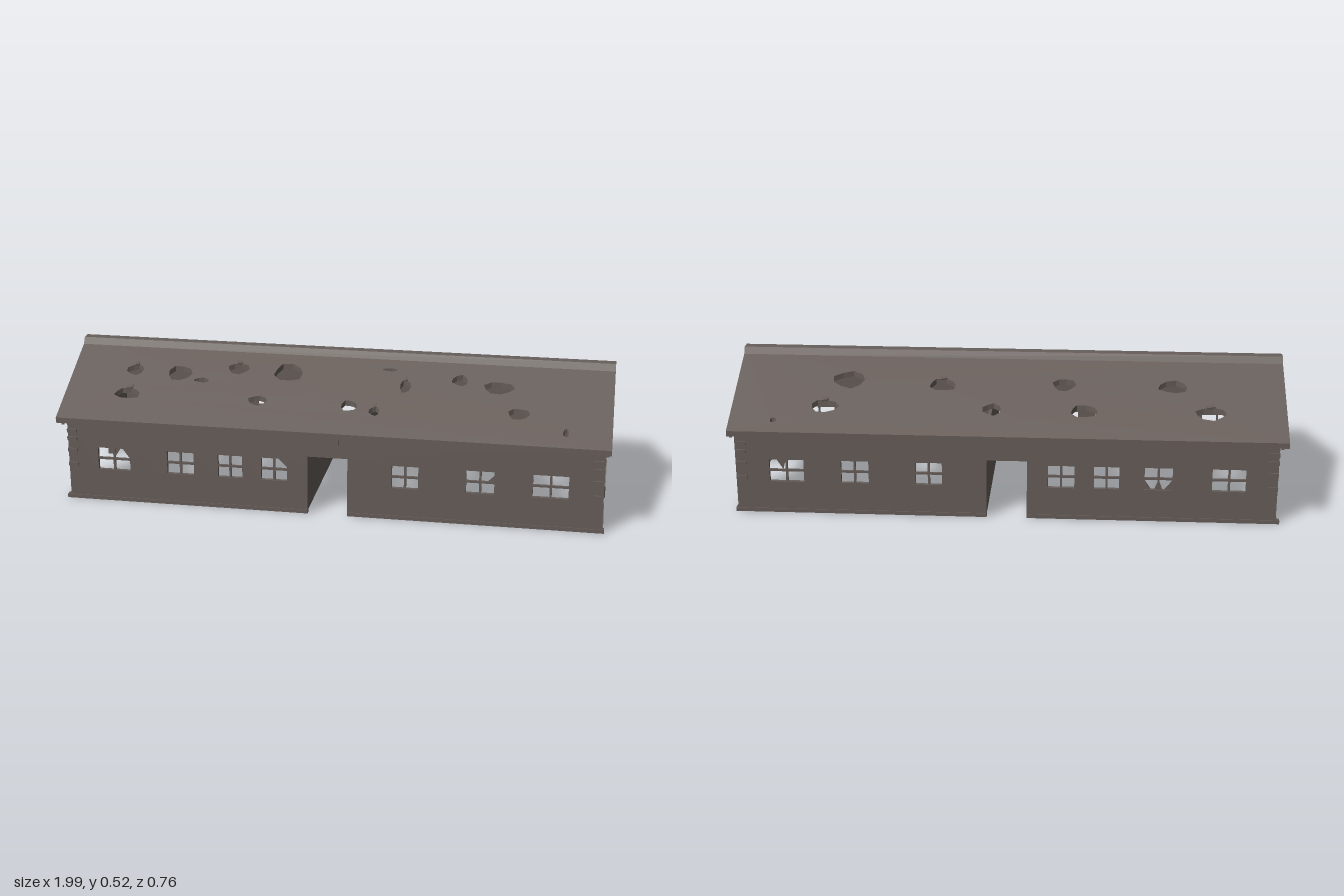
import * as THREE from 'three';

const timber = new THREE.MeshStandardMaterial({ color: 0x675e5a, side: THREE.DoubleSide });
timber.name = 'weatheredTimber';

const roofY = (z) => 0.515 - 0.5 * Math.abs(z); // top surface of the roof

function poly(points, Type = THREE.Shape) {
  return new Type(points.map(([x, y]) => new THREE.Vector2(x, y)));
}
function rect(x0, y0, x1, y1, Type) {
  return poly([[x0, y0], [x1, y0], [x1, y1], [x0, y1]], Type);
}
function extrude(shape, depth) {
  return new THREE.ExtrudeGeometry(shape, { depth, bevelEnabled: false });
}
function add(parent, name, geometry, x = 0, y = 0, z = 0) {
  const mesh = new THREE.Mesh(geometry, timber);
  mesh.name = name;
  mesh.position.set(x, y, z);
  parent.add(mesh);
  return mesh;
}
function box(parent, name, x0, x1, y0, y1, z0, z1) {
  return add(parent, name, new THREE.BoxGeometry(x1 - x0, y1 - y0, z1 - z0),
    (x0 + x1) / 2, (y0 + y1) / 2, (z0 + z1) / 2);
}

// Ragged opening around a centre
function ragged(x, z, rx, rz, seed) {
  const pts = [];
  for (let i = 0; i < 9; i++) {
    const a = (i / 9) * Math.PI * 2;
    const r = 0.98 + 0.1 * Math.sin(seed * 3.7 + i * 2.3);
    pts.push([x + rx * r * Math.cos(a), z + rz * r * Math.sin(a)]);
  }
  return poly(pts, THREE.Path);
}

// Window spans [x0, x1] along the long walls
const windows = [[-0.86, -0.74], [-0.6, -0.5], [-0.41, -0.32], [-0.25, -0.155],
  [0.225, 0.32], [0.49, 0.59], [0.725, 0.85]];
const W0 = 0.12, W1 = 0.205;

// Roof holes: x, distance from ridge, half sizes
const frontHoles = [[-0.765, 0.14, 0.033, 0.025], [-0.595, 0.145, 0.045, 0.035], [-0.505, 0.172, 0.03, 0.011],
  [-0.38, 0.11, 0.04, 0.026], [-0.19, 0.115, 0.055, 0.042], [0.18, 0.078, 0.028, 0.007],
  [0.245, 0.15, 0.02, 0.03], [0.44, 0.11, 0.03, 0.025], [0.58, 0.135, 0.055, 0.028],
  [-0.765, 0.25, 0.05, 0.025], [-0.28, 0.25, 0.035, 0.022], [0.055, 0.25, 0.03, 0.024],
  [0.15, 0.268, 0.02, 0.02], [0.66, 0.245, 0.038, 0.025], [0.83, 0.315, 0.01, 0.018]];
const backHoles = [[-0.73, 0.26, 0.055, 0.028], [-0.28, 0.26, 0.05, 0.028], [0.05, 0.26, 0.035, 0.026],
  [0.655, 0.26, 0.05, 0.028], [-0.6, 0.145, 0.055, 0.028], [-0.205, 0.145, 0.042, 0.028],
  [0.235, 0.155, 0.05, 0.028], [0.58, 0.14, 0.06, 0.038], [0.83, 0.325, 0.012, 0.01]];

function roofSlope(side, holes) {
  const slope = new THREE.Group();
  slope.name = side > 0 ? 'frontRoof' : 'backRoof';
  const shape = side > 0 ? rect(-1, 0, 0.99, 0.378) : rect(-0.99, 0, 1, 0.378);
  holes.forEach(([x, z, rx, rz], i) => shape.holes.push(ragged(side * x, z, rx, rz, i + side)));
  const geo = extrude(shape, 0.02);
  const p = geo.attributes.position;
  for (let i = 0; i < p.count; i++) {
    const z = p.getY(i);
    p.setXYZ(i, p.getX(i), roofY(z) - p.getZ(i), z);
  }
  geo.computeVertexNormals();
  add(slope, 'roofSheet', geo);
  // Splinters lifted at the rims of some holes
  holes.forEach(([x, z, rx, rz], i) => {
    if (i % 3) return;
    const s = add(slope, 'splinter', new THREE.BoxGeometry(rx * 0.5, 0.006, 0.022),
      side * x, roofY(z - rz) + 0.003, z - rz);
    s.rotation.set(0.15, 0.2, 0.1);
  });
  if (side < 0) slope.rotation.y = Math.PI;
  return slope;
}

// Cross bars of a window in its own x-y plane
function crossBars(parent, x0, x1, y0, y1, z) {
  const cx = (x0 + x1) / 2, cy = (y0 + y1) / 2;
  box(parent, 'windowPost', cx - 0.004, cx + 0.004, y0, y1, z - 0.004, z + 0.004);
  box(parent, 'windowBar', x0, x1, cy - 0.004, cy + 0.004, z - 0.004, z + 0.004);
}
function shard(parent, pts, z) {
  add(parent, 'brokenPane', new THREE.ShapeGeometry(poly(pts)), 0, 0, z);
}

function longWall(side) {
  const wall = new THREE.Group();
  wall.name = side > 0 ? 'frontWall' : 'backWall';
  const z = side * 0.333;
  const shape = poly([[-0.97, 0.005], [-0.08, 0.005], [-0.08, 0.22], [0.065, 0.22], [0.065, 0.005],
    [0.97, 0.005], [0.97, 0.335], [-0.97, 0.335]]);
  windows.forEach(([a, b]) => shape.holes.push(rect(a, W0, b, W1, THREE.Path)));
  add(wall, 'wallBoards', extrude(shape, 0.014), 0, 0, z - 0.007);
  windows.forEach(([a, b]) => crossBars(wall, a, b, W0, W1, z));
  // Sill boards either side of the passage
  box(wall, 'sill', -0.985, -0.08, 0, 0.014, z - 0.01, z + 0.01);
  box(wall, 'sill', 0.065, 0.98, 0, 0.014, z - 0.01, z + 0.01);
  if (side > 0) {
    shard(wall, [[-0.77, W1], [-0.74, W1], [-0.74, 0.162]], z);
    shard(wall, [[-0.8, 0.165], [-0.8, W1], [-0.775, W1]], z);
    shard(wall, [[-0.19, W1], [-0.155, W1], [-0.155, 0.17]], z);
    shard(wall, [[0.56, 0.16], [0.59, 0.16], [0.59, 0.19]], z);
  } else {
    shard(wall, [[-0.6, W0], [-0.57, W0], [-0.6, 0.158]], z);
    shard(wall, [[-0.565, W0], [-0.535, W0], [-0.55, 0.16]], z);
    shard(wall, [[-0.5, W0], [-0.5, 0.158], [-0.525, W0]], z);
    shard(wall, [[0.8, 0.165], [0.825, W1], [0.79, W1]], z);
  }
  // Bracket over the passage and beam ends by the corners
  box(wall, 'bracket', -0.005, 0.035, 0.27, 0.295, z - 0.01, z + side * 0.006 + 0.01);
  for (const x of [-0.955, 0.95])
    for (const y of [0.135, 0.19, 0.235, 0.265])
      box(wall, 'beamEnd', x - 0.018, x + 0.018, y - 0.007, y + 0.007, z - 0.013, z + 0.013);
  return wall;
}

// End wall drawn in its own plane, with u = -z
function endWall(side) {
  const end = new THREE.Group();
  end.name = side > 0 ? 'leftEnd' : 'rightEnd';
  const shape = poly([[-0.34, 0.005], [-0.12, 0.005], [-0.12, 0.25], [0.115, 0.25], [0.115, 0.005],
    [0.34, 0.005], [0.34, 0.332], [0, 0.502], [-0.34, 0.332]]);
  shape.holes.push(rect(-0.055, 0.335, 0.052, 0.403, THREE.Path));
  add(end, 'gableBoards', extrude(shape, 0.014), 0, 0, -0.007);
  crossBars(end, -0.055, 0.052, 0.335, 0.403, 0);
  shard(end, [[-0.055, 0.403], [-0.055, 0.38], [-0.025, 0.403]], 0);
  // Door frame and sills
  box(end, 'lintel', -0.145, 0.14, 0.25, 0.275, 0, 0.011);
  box(end, 'tieBeam', -0.1, 0.12, 0.29, 0.296, 0, 0.009);
  for (const [a, b] of [[-0.34, -0.118], [0.113, 0.34]])
    box(end, 'sill', a, b, 0, 0.02, -0.012, 0.011);
  box(end, 'doorPost', -0.135, -0.12, 0.01, 0.25, -0.02, 0.009);
  box(end, 'doorPost', 0.115, 0.13, 0.01, 0.25, -0.02, 0.009);
  // Patched board beside the door
  const patch = poly([[-0.295, 0.16], [-0.27, 0.108], [-0.19, 0.112], [-0.16, 0.145], [-0.22, 0.232], [-0.25, 0.232]]);
  add(end, 'patch', extrude(patch, 0.004), 0, 0, 0.007);
  // Verge boards under the roof edge
  for (const m of [-1, 1]) {
    const verge = poly([[0, 0.497], [m * 0.37, 0.312], [m * 0.37, 0.298], [0, 0.483]]);
    add(end, 'vergeBoard', extrude(verge, 0.01), 0, 0, 0.007);
  }
  end.rotation.y = side * Math.PI / 2;
  end.position.x = side * 0.965;
  if (side < 0) end.scale.x = -1;
  return end;
}

export function createModel() {
  const barn = new THREE.Group();
  barn.name = 'barn';
  barn.add(roofSlope(1, frontHoles), roofSlope(-1, backHoles));
  for (const side of [1, -1]) barn.add(longWall(side), endWall(side));

  // Ridge cap
  const cap = extrude(poly([[-0.034, 0.495], [0.034, 0.495], [0.017, 0.523], [-0.017, 0.523]]), 1.99);
  cap.rotateY(Math.PI / 2);
  add(barn, 'ridgeCap', cap, -1);

  // Partitions on both sides of the central passage
  box(barn, 'partition', -0.092, -0.08, 0.012, 0.3, -0.327, 0.327);
  box(barn, 'partition', 0.065, 0.077, 0.012, 0.3, -0.327, 0.327);
  return barn;
}
